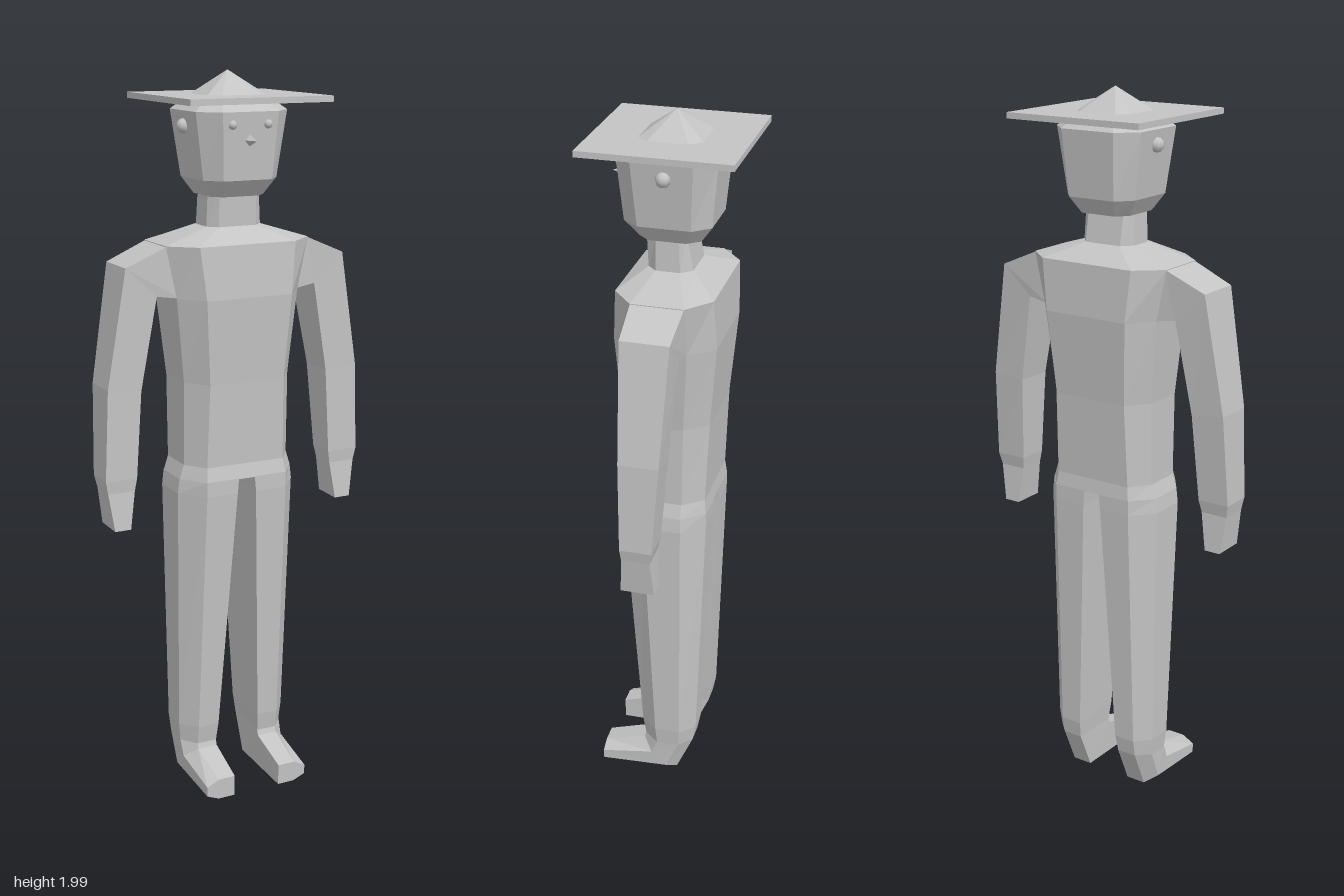
import * as THREE from 'three';

// Faceted skin over rings of points, bottom ring first, each counter-clockwise from above
function loft(rings) {
  const pos = [];
  const tri = (a, b, c) => pos.push(...a, ...b, ...c);
  const n = rings[0].length;
  for (let i = 0; i < rings.length - 1; i++) {
    for (let j = 0; j < n; j++) {
      const k = (j + 1) % n;
      const a = rings[i][j], b = rings[i][k], c = rings[i + 1][k], d = rings[i + 1][j];
      tri(a, b, c);
      tri(a, c, d);
    }
  }
  const first = rings[0], last = rings[rings.length - 1];
  for (let j = 1; j < n - 1; j++) {
    tri(first[0], first[j + 1], first[j]);
    tri(last[0], last[j], last[j + 1]);
  }
  const g = new THREE.BufferGeometry();
  g.setAttribute('position', new THREE.Float32BufferAttribute(pos, 3));
  g.computeVertexNormals();
  return g;
}

// Eight-sided level section: half widths xm (front panel), xo (sides); depths front to back
const octagon = ([y, xm, xo, f, fm, bm, b]) => [
  [-xm, y, f], [xm, y, f], [xo, y, fm], [xo, y, bm],
  [xm, y, b], [-xm, y, b], [-xo, y, bm], [-xo, y, fm]];

// Leg section between a front and a back [y, z] point, bevelled on the outer side
const legRing = ([xi, xm, xo, f, b]) =>
  [[xi, 0], [xm, 0], [xo, 0.3], [xo, 0.75], [xm, 1], [xi, 1]].map(([x, t]) =>
    [x, f[0] + (b[0] - f[0]) * t, f[1] + (b[1] - f[1]) * t]);

// Arm section between an inner and an outer [x, y] point
const armRing = ([inner, outer, f, b]) =>
  [[...inner, f], [...outer, f], [...outer, b], [...inner, b]];

const mirrorRings = (rings) => rings.map((r) => r.map(([x, y, z]) => [-x, y, z]).reverse());

export function createModel() {
  const group = new THREE.Group();
  const grey = new THREE.MeshStandardMaterial({ color: 0xc4c4c4 });
  grey.name = 'plain grey';
  const add = (name, geometry, x = 0, y = 0, z = 0) => {
    const mesh = new THREE.Mesh(geometry, grey);
    mesh.name = name;
    mesh.position.set(x, y, z);
    group.add(mesh);
    return mesh;
  };

  // Torso, shoulders and neck
  add('torso', loft([
    [0.92, 0.12, 0.17, 0.115, 0.045, -0.06, -0.12],
    [0.96, 0.115, 0.157, 0.105, 0.045, -0.06, -0.115],
    [1.19, 0.11, 0.157, 0.115, 0.05, -0.065, -0.125],
    [1.42, 0.125, 0.18, 0.13, 0.06, -0.08, -0.145],
    [1.56, 0.14, 0.21, 0.12, 0.06, -0.08, -0.14],
    [1.60, 0.055, 0.08, 0.055, 0.03, -0.035, -0.065],
  ].map(octagon)));
  add('neck', loft([
    [1.59, 0.055, 0.08, 0.055, 0.03, -0.035, -0.065],
    [1.70, 0.055, 0.075, 0.06, 0.03, -0.03, -0.045],
  ].map(octagon)));

  // Head, with its pointed crown rising through the brim
  add('head', loft([
    [1.68, 0.052, 0.078, 0.078, 0.05, -0.05, -0.083],
    [1.725, 0.07, 0.107, 0.115, 0.07, -0.07, -0.115],
    [1.90, 0.08, 0.132, 0.132, 0.08, -0.08, -0.132],
    [1.94, 0.055, 0.082, 0.077, 0.048, -0.055, -0.085],
    [2.00, 0.0005, 0.0007, -0.004, -0.0045, -0.0055, -0.006],
  ].map(octagon)));
  add('hatBrim', new THREE.BoxGeometry(0.404, 0.016, 0.4), 0, 1.931, 0);
  const nose = add('nose', new THREE.ConeGeometry(0.017, 0.045, 4).toNonIndexed(), 0, 1.828, 0.142);
  nose.geometry.computeVertexNormals();
  nose.rotation.x = Math.PI / 2;

  const legRings = [
    [0.07, 0.12, 0.155, [0.07, 0.182], [0.01, 0.18]],
    [0.067, 0.125, 0.158, [0.11, 0.06], [0.018, -0.04]],
    [0.067, 0.125, 0.16, [0.125, 0.055], [0.13, -0.088]],
    [0.063, 0.125, 0.165, [0.18, 0.064], [0.18, -0.097]],
    [0.028, 0.12, 0.175, [0.88, 0.115], [0.88, -0.12]],
    [0.024, 0.12, 0.17, [0.922, 0.115], [0.922, -0.12]],
  ].map(legRing);
  const armRings = [
    [[0.317, 0.80], [0.363, 0.80], 0.05, -0.042],
    [[0.301, 0.905], [0.378, 0.905], 0.042, -0.035],
    [[0.295, 0.94], [0.385, 0.94], 0.045, -0.042],
    [[0.28, 1.18], [0.375, 1.19], 0.048, -0.06],
    [[0.235, 1.43], [0.322, 1.51], 0.055, -0.075],
    [[0.17, 1.42], [0.205, 1.56], 0.06, -0.08],
  ].map(armRing);

  // Paired limbs and facial details
  for (const [side, s] of [['left', 1], ['right', -1]]) {
    const sided = (rings) => loft(s > 0 ? rings : mirrorRings(rings));
    add(side + 'LegAndFoot', sided(legRings));
    add(side + 'ArmAndHand', sided(armRings));
    add(side + 'Eye', new THREE.SphereGeometry(0.012, 8, 6), s * 0.051, 1.868, 0.128);
    add(side + 'Ear', new THREE.SphereGeometry(0.02, 8, 6), s * 0.128, 1.86, -0.004);
  }
  return group;
}
